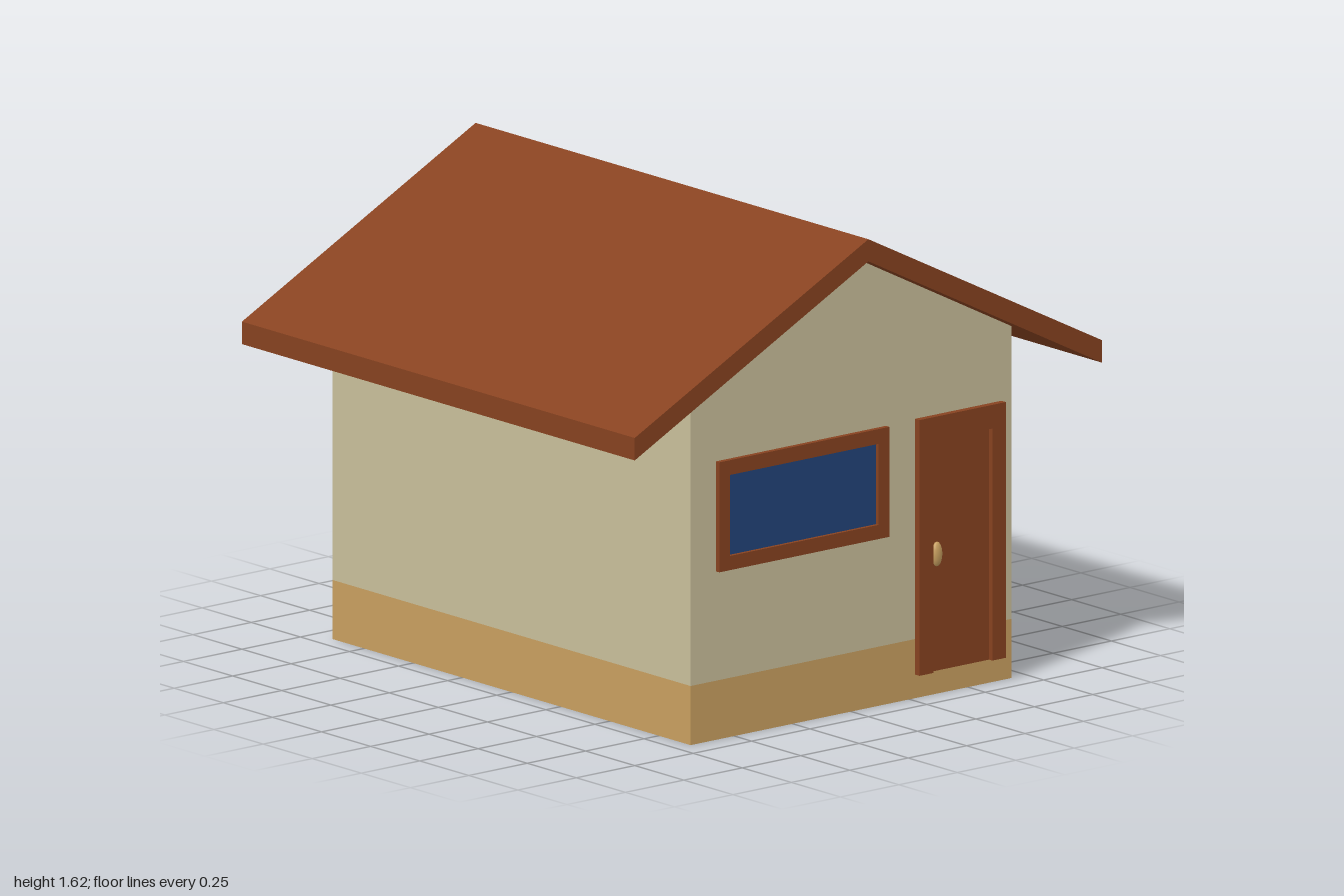
import * as THREE from 'three';

const mat = (name, color, side = THREE.FrontSide) => {
  const m = new THREE.MeshStandardMaterial({ color, side });
  m.name = name;
  return m;
};

export function createModel() {
  const house = new THREE.Group();
  house.name = 'house';

  const plaster = mat('cream plaster', 0xc9bf9b, THREE.DoubleSide);
  const tan = mat('tan base', 0xc9a060, THREE.DoubleSide);
  const brown = mat('red brown', 0x874220);
  const blue = mat('blue glass', 0x22447a);

  const W = 0.687, D = 0.912, BAND = 0.2, EAVE = 1.19, RIDGE = 1.54;

  const outline = (pts) => new THREE.Shape(pts.map(([x, y]) => new THREE.Vector2(x, y)));
  const rect = (x0, y0, x1, y1) => [[x0, y0], [x1, y0], [x1, y1], [x0, y1]];
  const add = (parent, name, geometry, material) => {
    const mesh = new THREE.Mesh(geometry, material);
    mesh.name = name;
    parent.add(mesh);
    return mesh;
  };
  const sheet = (parent, name, pts, material) =>
    add(parent, name, new THREE.ShapeGeometry(outline(pts)), material);
  const slab = (parent, name, pts, z0, z1, material, hole) => {
    const s = outline(pts);
    if (hole) s.holes.push(outline(hole));
    const g = new THREE.ExtrudeGeometry(s, { depth: z1 - z0, bevelEnabled: false });
    return add(parent, name, g.translate(0, 0, z0), material);
  };

  // Four open walls; each group's local +z points outward
  const wall = (name, half, dist, angle, gable) => {
    const g = new THREE.Group();
    g.name = name;
    g.rotation.y = angle;
    g.position.set(Math.sin(angle) * dist, 0, Math.cos(angle) * dist);
    const top = gable ? [[half, EAVE], [0, RIDGE], [-half, EAVE]] : [[half, EAVE], [-half, EAVE]];
    sheet(g, name + 'Plaster', [[-half, BAND], [half, BAND], ...top], plaster);
    sheet(g, name + 'Base', rect(-half, 0, half, BAND), tan);
    house.add(g);
    return g;
  };
  const front = wall('frontWall', W, D, 0, true);
  const back = wall('backWall', W, D, Math.PI, true);
  const left = wall('leftWall', D, W, Math.PI / 2, false);
  wall('rightWall', D, W, -Math.PI / 2, false);

  // Roof: one bent slab with overhang all round
  slab(house, 'roof', [
    [-1, 1.032], [0, RIDGE], [1, 1.032], [1, 1.108], [0, 1.615], [-1, 1.108],
  ], -1, 1, brown);

  // Windows: frame through the wall with a recessed pane
  const addWindow = (parent, cx) => {
    const w = new THREE.Group();
    w.name = 'window';
    w.position.x = cx;
    slab(w, 'windowFrame', rect(-0.364, 0.57, 0.364, 0.942), -0.018, 0.018, brown,
      rect(-0.318, 0.618, 0.318, 0.892));
    slab(w, 'windowPane', rect(-0.318, 0.618, 0.318, 0.892), -0.004, 0.005, blue);
    parent.add(w);
  };
  addWindow(front, -0.215);
  addWindow(left, 0.01);

  // Door: surround, recessed leaf and knob
  slab(front, 'doorFrame', [
    [0.273, 0.08], [0.333, 0.08], [0.333, 0.865], [0.585, 0.865],
    [0.585, 0.08], [0.643, 0.08], [0.643, 0.945], [0.273, 0.945],
  ], -0.018, 0.023, brown);
  slab(front, 'doorLeaf', rect(0.333, 0.08, 0.585, 0.865), -0.006, 0.006, brown);
  const knob = add(front, 'doorKnob', new THREE.SphereGeometry(1, 12, 8), tan);
  knob.scale.set(0.021, 0.042, 0.014);
  knob.position.set(0.36, 0.475, 0.008);

  // Bare patch in the back wall's plaster
  const patch = sheet(back, 'barePatch', [
    [0.405, 0.62], [0.6, 0.59], [0.65, 0.615], [0.625, 0.74],
    [0.56, 0.83], [0.52, 0.815], [0.44, 0.695],
  ], tan);
  patch.position.z = 0.003;

  return house;
}
